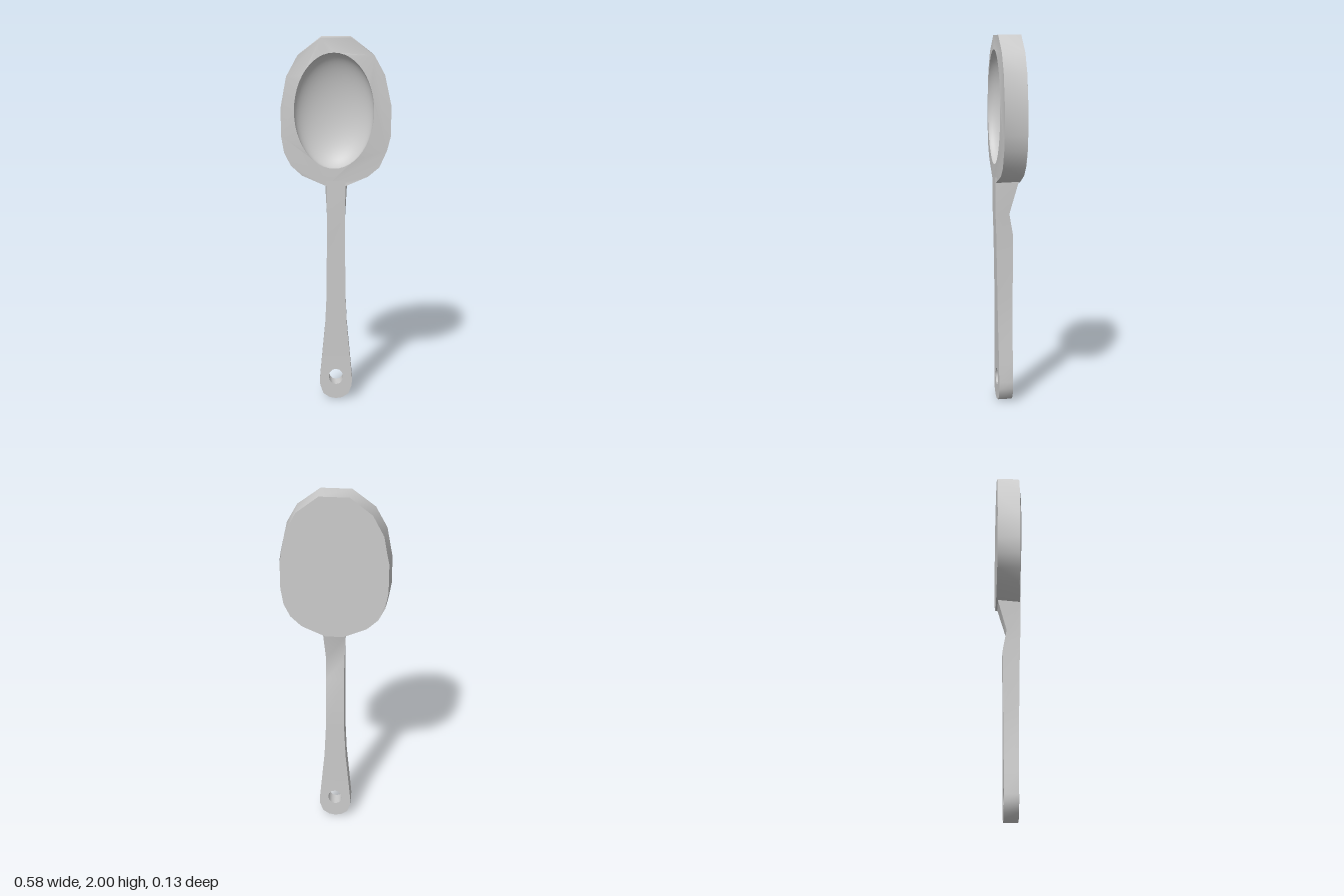
import * as THREE from 'three';
import { toCreasedNormals } from 'three/addons/utils/BufferGeometryUtils.js';

const metal = new THREE.MeshStandardMaterial({ color: 0xcccccc, side: THREE.DoubleSide });
metal.name = 'plain grey';

// Skin a list of closed cross-sections (arrays of [x, y, z])
function loft(rings, crease) {
  const n = rings[0].length, index = [];
  for (let i = 0; i < rings.length - 1; i++)
    for (let j = 0; j < n; j++) {
      const a = i * n + j, b = i * n + (j + 1) % n;
      index.push(a, b, b + n, a, b + n, a + n);
    }
  const g = new THREE.BufferGeometry();
  g.setAttribute('position', new THREE.Float32BufferAttribute(rings.flat(2), 3));
  g.setIndex(index);
  return toCreasedNormals(g, crease);
}

const toShape = pts => new THREE.Shape(pts.map(p => new THREE.Vector2(...p)));

function ellipseHole(x, y, rx, ry) {
  const path = new THREE.Path();
  path.absellipse(x, y, rx, ry, 0, Math.PI * 2, true);
  return path;
}

export function createModel() {
  const model = new THREE.Group();
  const add = (name, geometry) => {
    const mesh = new THREE.Mesh(geometry, metal);
    mesh.name = name;
    model.add(mesh);
    return mesh;
  };

  // Head outline, counter-clockwise from the neck
  const outline = [
    [0.05, 1.22], [0.17, 1.27], [0.23, 1.32], [0.27, 1.41], [0.29, 1.49], [0.29, 1.65],
    [0.255, 1.81], [0.2, 1.91], [0.08, 2], [-0.08, 2], [-0.2, 1.91], [-0.26, 1.8],
    [-0.29, 1.64], [-0.29, 1.49], [-0.275, 1.4], [-0.24, 1.33], [-0.18, 1.275], [-0.05, 1.22],
  ];
  const backOutline = outline.map(([x, y]) => [x * 0.965, y]);
  const frontZ = 0.055, lipZ = 0.064, backZ = -0.068;
  const bowl = { x: -0.01, y: 1.62, rx: 0.21, ry: 0.305 };

  // Rim: rises slightly from the outer edge to the bowl's lip
  const rimShape = toShape(outline);
  rimShape.holes.push(ellipseHole(bowl.x, bowl.y, bowl.rx, bowl.ry));
  const rim = new THREE.ShapeGeometry(rimShape, 24);
  const rp = rim.attributes.position;
  for (let i = 0; i < rp.count; i++) {
    const r = Math.hypot((rp.getX(i) - bowl.x) / bowl.rx, (rp.getY(i) - bowl.y) / bowl.ry);
    const atNeck = rp.getY(i) < 1.25;
    rp.setZ(i, r < 1.02 || atNeck ? lipZ : frontZ);
  }
  rim.computeVertexNormals();
  add('rim', rim);

  // Tapered side wall and flat back of the head
  add('headSide', loft([
    backOutline.map(([x, y]) => [x, y, backZ]),
    outline.map(([x, y]) => [x, y, y < 1.25 ? lipZ : frontZ]),
  ], 0.9));
  const back = new THREE.ShapeGeometry(toShape(backOutline));
  back.rotateY(Math.PI);
  add('headBack', back).position.z = backZ;

  // Hollow bowl: half an ellipsoid seen from inside
  const hollow = new THREE.SphereGeometry(1, 48, 16, 0, Math.PI * 2, Math.PI / 2, Math.PI / 2);
  hollow.rotateX(Math.PI / 2);
  hollow.scale(bowl.rx, bowl.ry, 0.112);
  add('bowl', hollow).position.set(bowl.x, bowl.y, lipZ);

  // Handle sections: y, front half width, back half width, front z, back z
  const sections = [
    [0.25, 0.077, 0.077, 0.052, -0.025],
    [0.43, 0.06, 0.06, 0.054, -0.026],
    [0.6, 0.052, 0.052, 0.056, -0.028],
    [0.93, 0.049, 0.049, 0.061, -0.031],
    [1.05, 0.049, 0.05, 0.065, -0.01],
    [1.22, 0.05, 0.06, 0.066, -0.058],
    [1.25, 0.05, 0.06, 0.066, -0.062],
  ];
  add('handle', loft(sections.map(([y, f, b, zf, zb]) =>
    [[-f, y, zf], [f, y, zf], [b, y, zb], [-b, y, zb]]), 0.5));

  // Rounded handle end with a hanging hole
  const half = [[0.035, 0.006], [0.07, 0.03], [0.088, 0.08], [0.089, 0.12], [0.077, 0.25]];
  const endShape = toShape([[0, 0], ...half, ...half.map(([x, y]) => [-x, y]).reverse()]);
  endShape.holes.push(ellipseHole(0, 0.13, 0.04, 0.046));
  const end = new THREE.ExtrudeGeometry(endShape, { depth: 0.077, bevelEnabled: false, curveSegments: 6 });
  add('handleEnd', toCreasedNormals(end, 0.9)).position.z = -0.025;

  return model;
}
